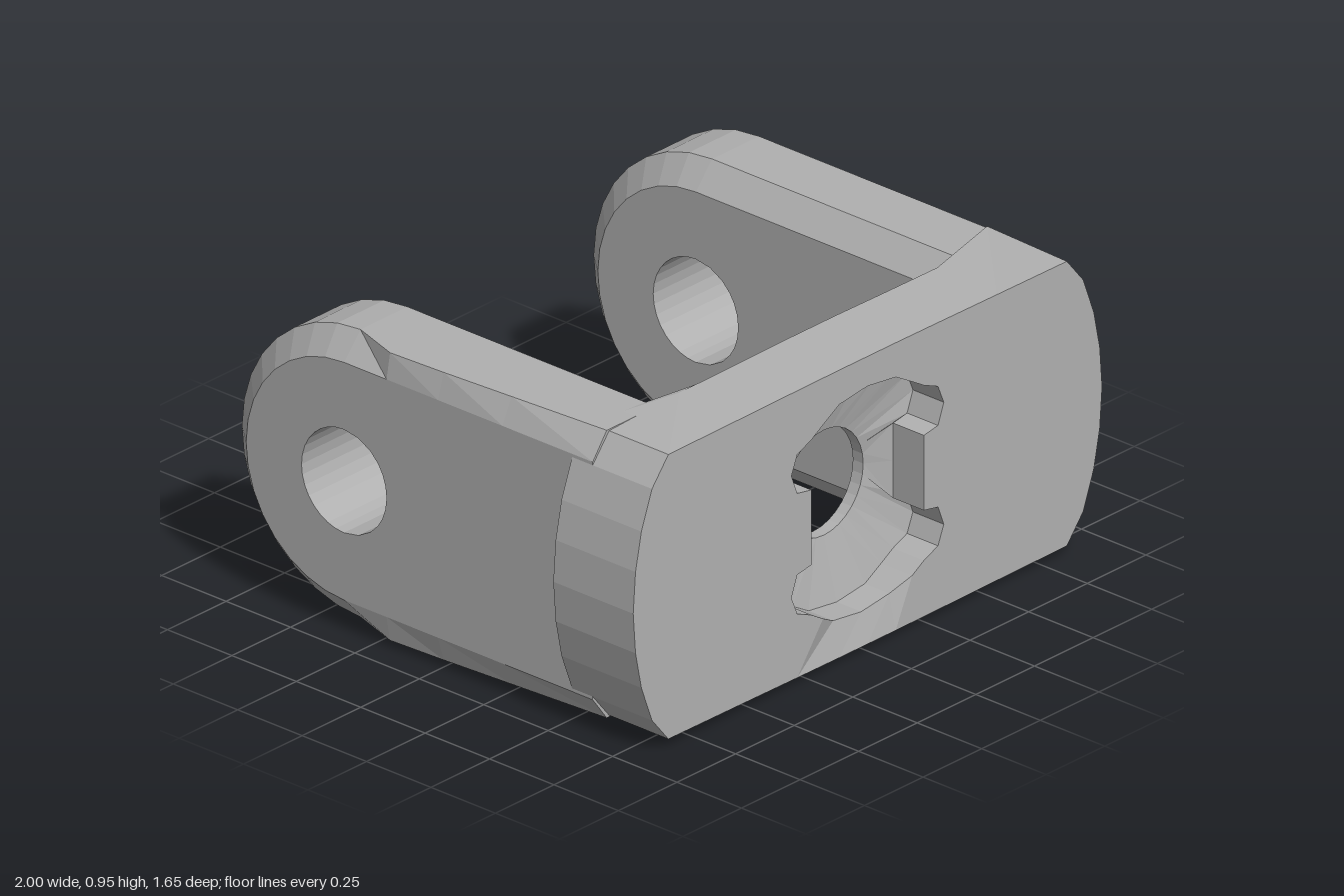
import * as THREE from 'three';

const CY = 0.4825; // height of the hole axes

// Joins closed loops of points into a ring-shaped solid; the last loop meets the first.
function loft(rings, flip) {
  const n = rings[0].length;
  const index = [];
  rings.forEach((r, i) => {
    const k = (i + 1) % rings.length;
    for (let j = 0; j < n; j++) {
      const m = (j + 1) % n;
      const a = i * n + j, b = i * n + m, c = k * n + m, d = k * n + j;
      if (flip) index.push(a, c, b, a, d, c);
      else index.push(a, b, c, a, c, d);
    }
  });
  const g = new THREE.BufferGeometry();
  g.setAttribute('position', new THREE.Float32BufferAttribute(rings.flat(2), 3));
  g.setIndex(index);
  const out = g.toNonIndexed();
  out.computeVertexNormals();
  return out;
}

// Mirrors a quarter outline (from the x axis to the y axis) into a full loop.
function fourWay(q, z) {
  const back = q.slice(0, -1).reverse();
  return [
    ...q.map(([u, v]) => [u, v]),
    ...back.map(([u, v]) => [-u, v]),
    ...q.slice(1).map(([u, v]) => [-u, -v]),
    ...back.slice(0, -1).map(([u, v]) => [u, -v]),
  ].map(([u, v]) => [u, CY + v, z]);
}

// Base plate: bulged ends, lobed front recess, round hole, shallow bowl at the back.
function baseGeometry() {
  const outline = [[1, 0], [0.99, 0.13], [0.965, 0.25], [0.92, 0.37], [0.85, 0.455],
    [0.55, 0.457], [0.3, 0.459], [0.12, 0.46], [0, 0.46]];
  const lobes = [[0.24, 0], [0.24, 0.12], [0.3, 0.13], [0.325, 0.195], [0.3, 0.255],
    [0.24, 0.28], [0.19, 0.31], [0.12, 0.35], [0, 0.365]];
  const hole = lobes.map((_, k) => {
    const a = (k / 8) * Math.PI / 2;
    return [0.168 * Math.cos(a), 0.168 * Math.sin(a)];
  });
  const bowl = [[0.58, 0], [0.58, 0.1], [0.58, 0.2], [0.58, 0.3], [0.58, 0.38],
    [0.4, 0.38], [0.25, 0.38], [0.12, 0.38], [0, 0.38]];
  const rim = [[0.65, 0], [0.65, 0.12], [0.65, 0.24], [0.65, 0.36], [0.65, 0.465],
    [0.45, 0.466], [0.28, 0.467], [0.12, 0.468], [0, 0.468]];
  const tail = [[0.92, 0], [0.92, 0.12], [0.92, 0.24], [0.92, 0.37], [0.85, 0.465],
    [0.55, 0.468], [0.3, 0.47], [0.12, 0.4725], [0, 0.4725]];

  // The left end tapers into its arm, the right end keeps its full bulge as a step.
  const full = fourWay(outline, 0.52);
  const back = fourWay(tail, 0.6).map(([x, y, z], i) => {
    if (x < -0.8) return full[i];
    const drop = y < 0.1 ? 0.01 : 0;
    return [x, Math.max(0, y - drop), x > 0.66 ? 0.52 : z];
  });
  // The lower lip of the recess is set slightly back.
  const lip = fourWay(lobes, 0.83).map(([x, y, z]) => [x, y, y < 0.14 ? 0.805 : z]);
  return loft([
    fourWay(outline, 0.83), lip, fourWay(lobes, 0.71),
    fourWay(hole, 0.66), fourWay(hole, 0.62),
    fourWay(bowl, 0.52), fourWay(rim, 0.6), back,
  ]);
}

// Arm: round-ended plate with a cross hole and chamfered edges.
function armGeometry(side) {
  const cz = -0.365;
  const profile = (half) => {
    const top = [[0.6, 0], [0.6, half / 2], [0.6, half], [0.25, half], [0, half], [-0.2, half]];
    for (let k = 0; k <= 8; k++) {
      const a = Math.PI / 2 * (1 + k / 8);
      top.push([cz + half * Math.cos(a), half * Math.sin(a)]);
    }
    return [...top, ...top.slice(1, -1).reverse().map(([z, v]) => [z, -v])];
  };
  const edge = profile(0.46);
  const inset = profile(0.38);
  const hole = edge.map(([z, v]) => {
    const a = Math.atan2(v, z - cz);
    return [cz + 0.165 * Math.cos(a), 0.165 * Math.sin(a)];
  });
  const at = (loop, x) => loop.map(([z, v]) => [side * x, CY + v, z]);

  const outerInset = at(inset, 0.92);
  const outerEdge = at(edge, 0.85);
  if (side > 0) {
    // Notch running from the hole to the round end
    outerInset[14] = [0.925, CY - 0.01, -0.585];
    outerInset[15] = [0.95, CY - 0.045, -0.59];
  } else {
    // Worn chamfer that narrows along the straight edges
    for (const p of outerEdge) {
      if (p[2] > -0.3) p[0] = -Math.min(0.905, 0.86 + (0.6 - p[2]) * 0.06);
    }
  }
  return loft([
    at(inset, 0.58), at(hole, 0.58), at(hole, 0.92),
    outerInset, outerEdge, at(edge, 0.65),
  ], side < 0);
}

export function createModel() {
  const group = new THREE.Group();
  group.name = 'clevisBracket';
  const metal = new THREE.MeshStandardMaterial({ color: 0xb0b0b0 });
  metal.name = 'plain grey';
  metal.flatShading = true;

  const add = (name, geometry) => {
    const mesh = new THREE.Mesh(geometry, metal);
    mesh.name = name;
    group.add(mesh);
  };
  add('basePlate', baseGeometry());
  add('leftArm', armGeometry(1));
  add('rightArm', armGeometry(-1));
  return group;
}
